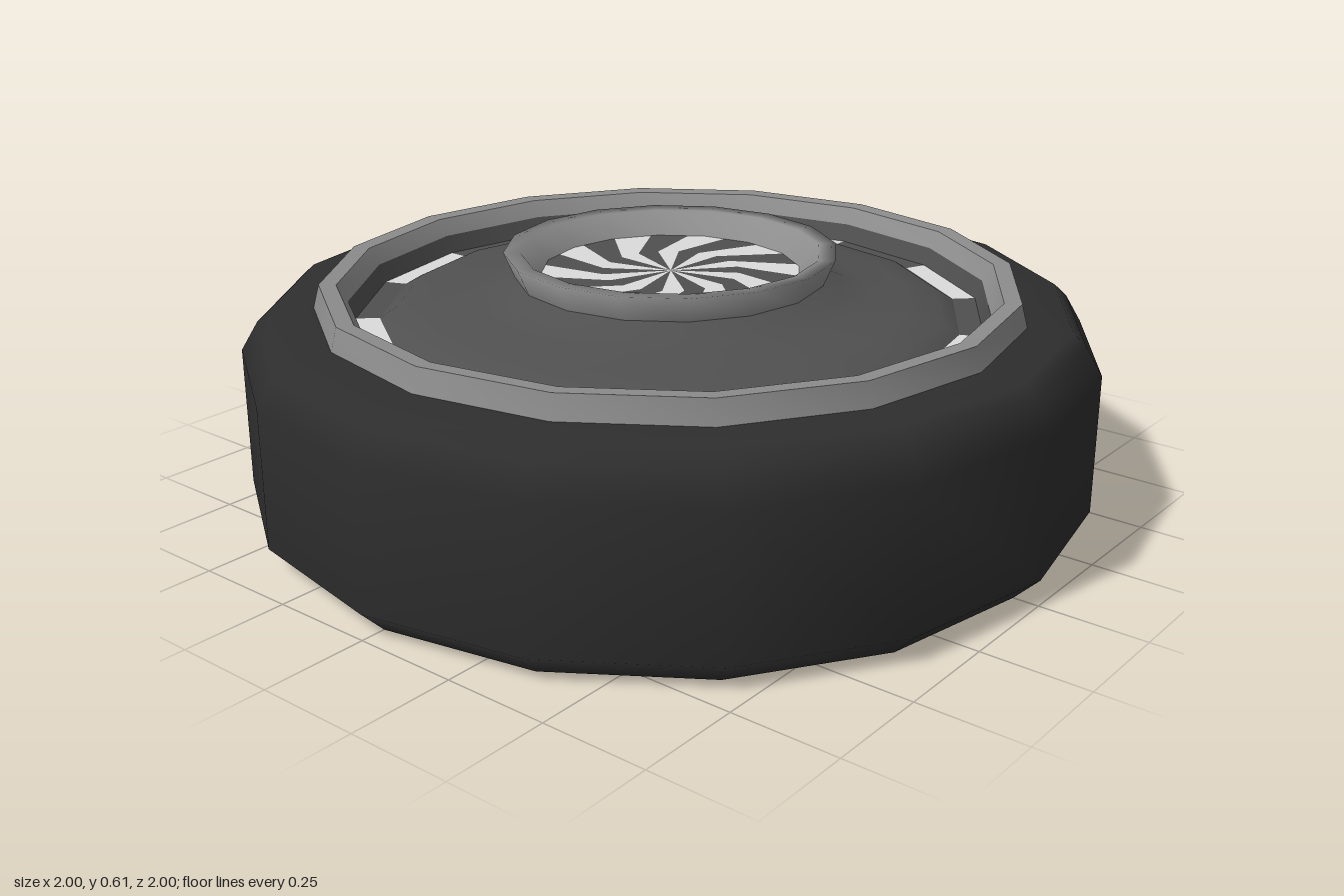
import * as THREE from 'three';
import { toCreasedNormals } from 'three/addons/utils/BufferGeometryUtils.js';

const SIDES = 16;
const STEP = (Math.PI * 2) / SIDES;

const paint = (name, color) => {
  const m = new THREE.MeshStandardMaterial({ color, side: THREE.DoubleSide });
  m.name = name;
  return m;
};

// Spun shell from [radius, height] pairs, listed from the outside inwards
function spin(profile, start = 0, segments = SIDES) {
  const points = profile.map(([r, y]) => new THREE.Vector2(r, y));
  return new THREE.LatheGeometry(points, segments, start, segments * STEP);
}

export function createModel() {
  const rubber = paint('black rubber', 0x2e2e2e);
  const metal = paint('grey metal', 0x8c8c8c);
  const dark = paint('dark grey', 0x505050);
  const light = paint('light grey', 0xdcdcdc);

  const model = new THREE.Group();
  const add = (name, geometry, material, parent = model) => {
    const mesh = new THREE.Mesh(geometry, material);
    mesh.name = name;
    parent.add(mesh);
    return mesh;
  };

  // Tyre: a shell open at the bottom
  add('tyre', spin([[0.94, 0], [1, 0.06], [1, 0.39], [0.96, 0.457], [0.93, 0.485], [0.8, 0.488]]), rubber);

  // Metal rim lip and the wall that drops inside it
  add('rimLip', toCreasedNormals(spin([[0.83, 0.485], [0.815, 0.542], [0.775, 0.54], [0.75, 0.5]]), 0.5), metal);
  add('rimWall', spin([[0.75, 0.5], [0.735, 0.457]]), dark);

  // Flared wheel cover rising to the hub
  add('wheelCover', spin([[0.68, 0.457], [0.64, 0.482], [0.56, 0.497], [0.47, 0.508], [0.41, 0.524], [0.35, 0.55]]), dark);

  // Channel around the cover: light slots alternate with dark gaps
  const channel = new THREE.Group();
  channel.name = 'slotChannel';
  model.add(channel);
  for (let i = 0; i < SIDES; i++) {
    const isSlot = i % 2 === 0;
    add(isSlot ? 'slot' : 'slotGap', spin([[0.735, 0.457], [0.68, 0.457]], i * STEP, 1), isSlot ? light : dark, channel);
  }

  // Hub ring
  add('hubRing', spin([[0.36, 0.535], [0.39, 0.605], [0.35, 0.603], [0.305, 0.55]]), metal);

  // Pinwheel cap: bent blades in two colours
  const cap = new THREE.Group();
  cap.name = 'pinwheelCap';
  cap.position.y = 0.55;
  model.add(cap);
  const BLADES = 10;
  const half = 180 / BLADES;
  const at = (r, degrees) => {
    const a = THREE.MathUtils.degToRad(degrees);
    return new THREE.Vector2(r * Math.cos(a), -r * Math.sin(a));
  };
  for (let i = 0; i < BLADES * 2; i++) {
    const a = -104 + i * half;
    const blade = new THREE.Shape([
      at(0, 0), at(0.16, a), at(0.308, a + 20), at(0.31, a + 20 + half / 2),
      at(0.308, a + 20 + half), at(0.16, a + half),
    ]);
    const isLight = i % 2 === 0;
    add(isLight ? 'lightBlade' : 'darkBlade', new THREE.ShapeGeometry(blade).rotateX(-Math.PI / 2), isLight ? light : dark, cap);
  }

  return model;
}
